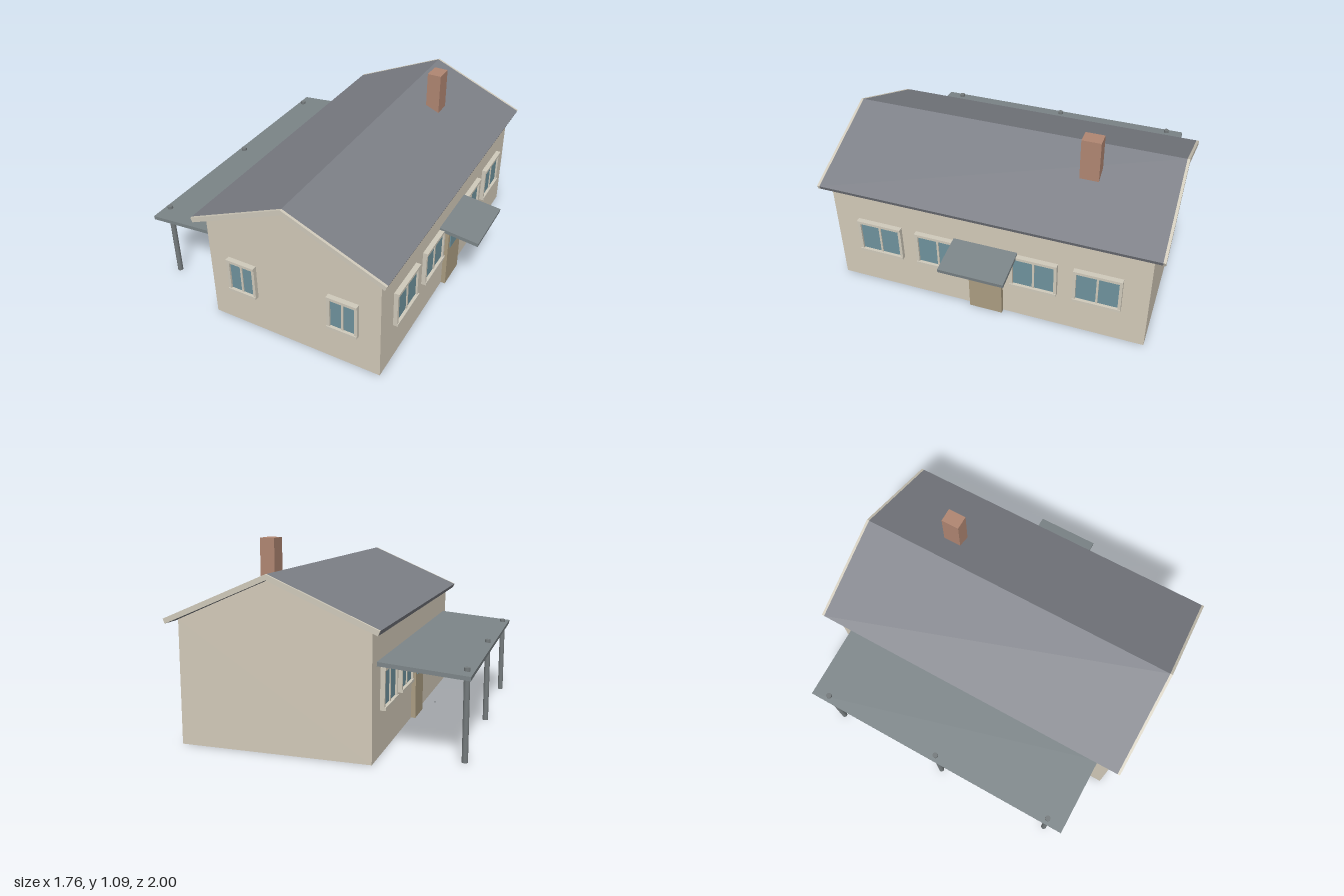
import * as THREE from 'three';

const mat = (color) => new THREE.MeshStandardMaterial({ color, flatShading: true });
const WALL = mat(0xd3cab9), TRIM = mat(0xd0cabb), ROOF = mat(0x7c7f86), PORCH = mat(0x7c8588);
const GLASS = mat(0x6f939d), DOOR = mat(0xab9d82), BRICK = mat(0xb08672), STEEL = mat(0x747a7c);

const RIDGE_X = 0.115, RIDGE_Y = 0.94, EAVE_Y = 0.69, HALF_SPAN = 0.585, THICK = 0.028;
const WALL_L = -0.415, WALL_R = 0.645, WALL_Z = 0.94;

function add(parent, name, geometry, material, x = 0, y = 0, z = 0) {
  const mesh = new THREE.Mesh(geometry, material);
  mesh.name = name;
  mesh.position.set(x, y, z);
  parent.add(mesh);
  return mesh;
}
const box = (parent, name, material, w, h, d, x, y, z) =>
  add(parent, name, new THREE.BoxGeometry(w, h, d), material, x, y, z);

// Extrude an outline in the xy plane from z0 to z1
function prism(parent, name, material, points, z0, z1) {
  const shape = new THREE.Shape(points.map(([x, y]) => new THREE.Vector2(x, y)));
  const geometry = new THREE.ExtrudeGeometry(shape, { depth: z1 - z0, bevelEnabled: false });
  return add(parent, name, geometry, material, 0, 0, z0);
}

// Sloping slab with its upper edge from (x0,y0) to (x1,y1), x0 < x1
function slab(parent, name, material, x0, y0, x1, y1, t, z0, z1) {
  const len = Math.hypot(x1 - x0, y1 - y0);
  const nx = (y1 - y0) / len * t, ny = -(x1 - x0) / len * t;
  return prism(parent, name, material,
    [[x0, y0], [x0 + nx, y0 + ny], [x1 + nx, y1 + ny], [x1, y1]], z0, z1);
}

// Two-pane window facing +z, standing on the wall plane z = 0
function makeWindow(w, h) {
  const g = new THREE.Group();
  g.name = 'window';
  const f = 0.017, d = 0.024;
  for (const s of [-1, 1]) {
    box(g, 'windowJamb', TRIM, f, h, d, s * (w - f) / 2, 0, d / 2);
    box(g, s > 0 ? 'windowHead' : 'windowSill', TRIM, w, f, d + 0.006, 0, s * (h - f) / 2, (d + 0.006) / 2);
    const pw = (w - 2 * f - 0.012) / 2;
    box(g, 'windowPane', GLASS, pw, h - 2 * f, 0.012, s * (pw + 0.012) / 2, 0, 0.006);
  }
  box(g, 'windowMullion', TRIM, 0.012, h - 2 * f, 0.018, 0, 0, 0.009);
  return g;
}

// Door with a small glazed panel, facing +z
function makeDoor() {
  const g = new THREE.Group();
  g.name = 'door';
  box(g, 'doorLeaf', DOOR, 0.2, 0.4, 0.027, 0, 0.2, 0.0135);
  box(g, 'doorGlass', GLASS, 0.15, 0.1, 0.012, 0, 0.315, 0.027);
  return g;
}

export function createModel() {
  const house = new THREE.Group();
  house.name = 'house';

  // Walls with gable ends
  prism(house, 'walls', WALL,
    [[WALL_L, 0], [WALL_R, 0], [WALL_R, 0.68], [RIDGE_X, 0.912], [WALL_L, 0.68]], -WALL_Z, WALL_Z);

  // Roof slopes and pale barge boards on both gables
  const slopes = [
    [RIDGE_X - HALF_SPAN, EAVE_Y, RIDGE_X, RIDGE_Y],
    [RIDGE_X, RIDGE_Y, RIDGE_X + HALF_SPAN, EAVE_Y],
  ];
  for (const s of slopes) {
    slab(house, 'roofSlope', ROOF, ...s, THICK, -0.985, 0.985);
    slab(house, 'bargeBoard', TRIM, ...s, THICK, 0.985, 1);
    slab(house, 'bargeBoard', TRIM, ...s, THICK, -1, -0.985);
  }

  box(house, 'chimney', BRICK, 0.085, 0.29, 0.11, 0.3025, 0.945, -0.5);

  // Front gable windows
  for (const x of [-0.2, 0.43]) {
    const w = makeWindow(0.18, 0.22);
    w.position.set(x, 0.34, WALL_Z);
    house.add(w);
  }

  // Four windows and a door along each long wall
  for (const [x, turn] of [[WALL_R, 1], [WALL_L, -1]]) {
    const side = new THREE.Group();
    side.name = turn > 0 ? 'leftSideOpenings' : 'rightSideOpenings';
    side.position.x = x;
    side.rotation.y = turn * Math.PI / 2;
    for (const p of [-0.655, -0.288, 0.288, 0.655]) {
      const w = makeWindow(0.275, 0.225);
      w.position.set(p, 0.352, 0);
      side.add(w);
    }
    side.add(makeDoor());
    house.add(side);
  }

  // Small canopy over one door
  slab(house, 'doorCanopy', PORCH, WALL_R, 0.478, 0.88, 0.448, 0.022, -0.19, 0.19);

  // Long veranda roof on three posts
  slab(house, 'verandaRoof', PORCH, -0.883, 0.467, WALL_L, 0.508, 0.022, -0.86, 0.86);
  for (const z of [-0.755, 0, 0.755]) {
    add(house, 'verandaPost', new THREE.CylinderGeometry(0.016, 0.016, 0.488, 20),
      new THREE.MeshStandardMaterial({ color: STEEL.color }), -0.847, 0.244, z);
  }

  // Tiny stone beside the veranda door
  box(house, 'stone', STEEL, 0.007, 0.007, 0.007, -0.495, 0.016, 0.23);

  return house;
}
